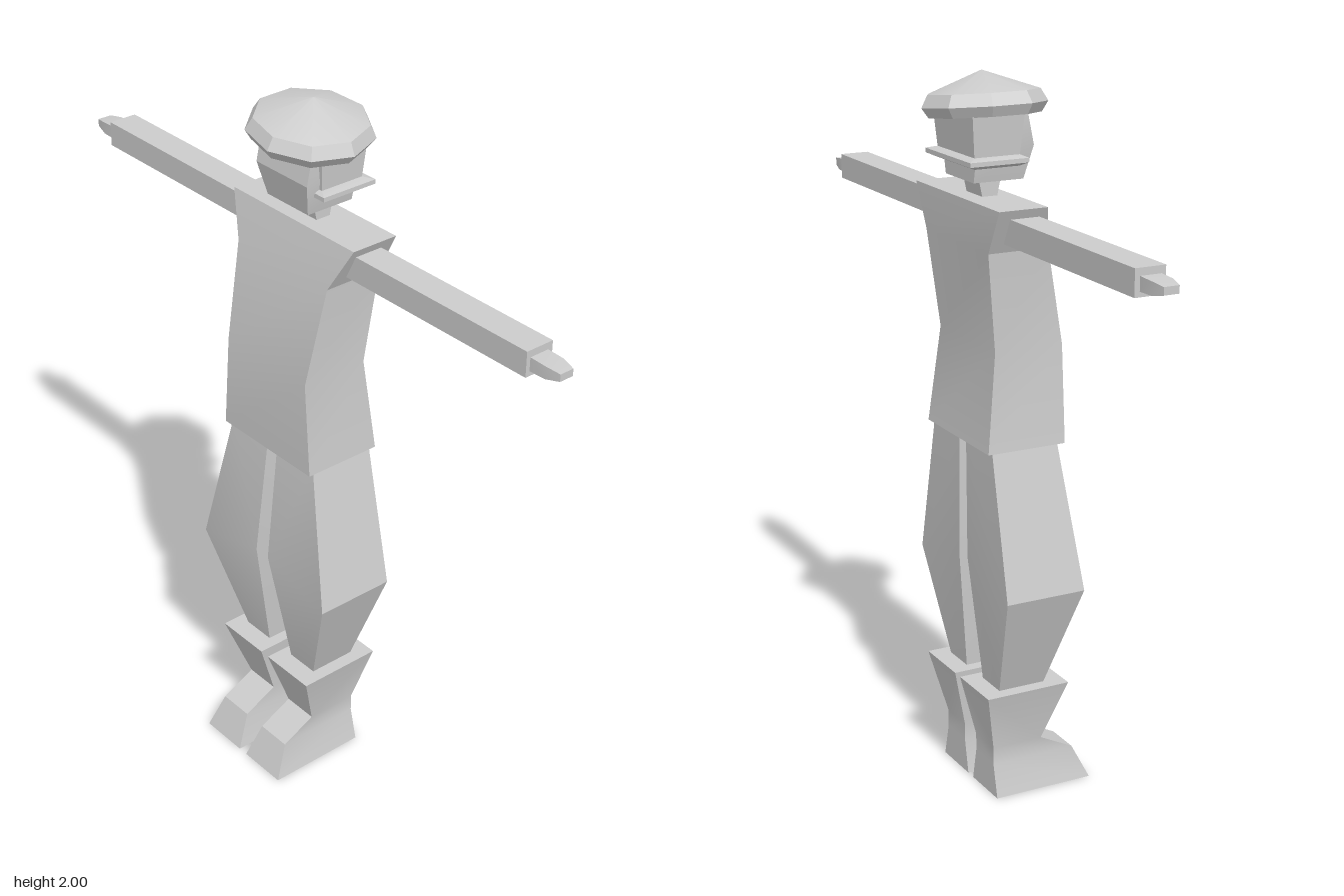
import * as THREE from 'three';
import { toCreasedNormals } from 'three/addons/utils/BufferGeometryUtils.js';

const material = new THREE.MeshStandardMaterial({ color: 0xcccccc });

// Closed loft through rectangles [y, x0, x1, z0, z1, yAtX0], listed from bottom to top
function loft(sections) {
  const pos = [], idx = [];
  for (const [y, x0, x1, z0, z1, yi = y] of sections)
    pos.push(x1, y, z1, x1, y, z0, x0, yi, z0, x0, yi, z1);
  for (let i = 0; i < sections.length - 1; i++)
    for (let j = 0; j < 4; j++) {
      const a = i * 4 + j, b = i * 4 + (j + 1) % 4;
      idx.push(a, b, b + 4, a, b + 4, a + 4);
    }
  const t = pos.length / 3 - 4;
  idx.push(2, 1, 0, 3, 2, 0, t, t + 1, t + 2, t, t + 2, t + 3);
  const geo = new THREE.BufferGeometry();
  geo.setAttribute('position', new THREE.Float32BufferAttribute(pos, 3));
  geo.setIndex(idx);
  return geo;
}

// Copy reflected in x, with the faces turned back outward
function mirrored(geo) {
  const copy = geo.clone().scale(-1, 1, 1);
  copy.setIndex(Array.from(geo.index.array).reverse());
  return copy;
}

export function createModel() {
  const model = new THREE.Group();
  const add = (name, geo, crease = 0.35) => {
    const mesh = new THREE.Mesh(toCreasedNormals(geo, crease), material);
    mesh.name = name;
    model.add(mesh);
    return mesh;
  };
  const addPair = (name, geo) => {
    add('left' + name, geo);
    add('right' + name, mirrored(geo));
  };

  // Tunic with flared shoulders
  add('tunic', loft([
    [1.02, -0.18, 0.18, -0.12, 0.11],
    [1.29, -0.16, 0.16, -0.09, 0.11],
    [1.56, -0.18, 0.18, -0.12, 0.055],
    [1.68, -0.24, 0.24, -0.12, 0.02],
  ]));

  // Straight outstretched sleeves and tapered hands
  const along = (sections) => loft(sections).rotateZ(-Math.PI / 2).translate(0, 1.62, -0.04);
  addPair('Sleeve', along([
    [0.15, -0.035, 0.035, -0.042, 0.042],
    [0.83, -0.035, 0.035, -0.042, 0.042],
  ]));
  addPair('Hand', along([
    [0.82, -0.016, 0.022, -0.028, 0.03],
    [0.88, -0.014, 0.02, -0.028, 0.03],
    [0.92, -0.008, 0.012, -0.02, 0.022],
  ]));

  // Baggy trousers, widest at the knee
  addPair('Trouser', loft([
    [0.31, 0.05, 0.145, -0.07, 0.065],
    [0.62, 0.025, 0.26, -0.105, 0.13, 0.68],
    [1.03, 0.02, 0.17, -0.105, 0.09],
  ]));

  // Boots with a flared cuff and sloping toe
  addPair('Boot', loft([
    [0, 0.015, 0.163, -0.085, 0.21],
    [0.095, 0.035, 0.14, -0.085, 0.165],
    [0.145, 0.035, 0.14, -0.085, 0.065],
    [0.32, 0.015, 0.187, -0.125, 0.125],
  ]));

  // Neck, face, hair and its flared lower edge
  add('neck', loft([
    [1.67, -0.045, 0.045, -0.065, -0.025],
    [1.74, -0.045, 0.045, -0.08, -0.01],
  ]));
  add('face', loft([
    [1.725, -0.08, 0.08, -0.11, 0.035],
    [1.815, -0.1, 0.1, -0.11, 0.055],
    [1.91, -0.1, 0.1, -0.11, 0.035],
  ]));
  add('hair', loft([
    [1.785, -0.105, 0.105, -0.12, 0.01],
    [1.9, -0.115, 0.115, -0.13, 0.02],
  ]));
  add('hairEdge', loft([
    [1.765, -0.105, 0.105, -0.12, 0.01],
    [1.776, -0.13, 0.13, -0.145, 0.025],
    [1.788, -0.13, 0.13, -0.145, 0.025],
    [1.795, -0.105, 0.105, -0.12, 0.01],
  ]));

  // Nine-sided flat cap, tilted to one side
  const profile = [[0, -0.032], [0.15, -0.032], [0.168, -0.005], [0.15, 0.028], [0, 0.083]];
  const cap = add('cap', new THREE.LatheGeometry(
    profile.map(([x, y]) => new THREE.Vector2(x, y)), 9, THREE.MathUtils.degToRad(11)), 0.5);
  cap.position.set(0, 1.918, -0.04);
  cap.rotation.z = -0.12;

  return model;
}
